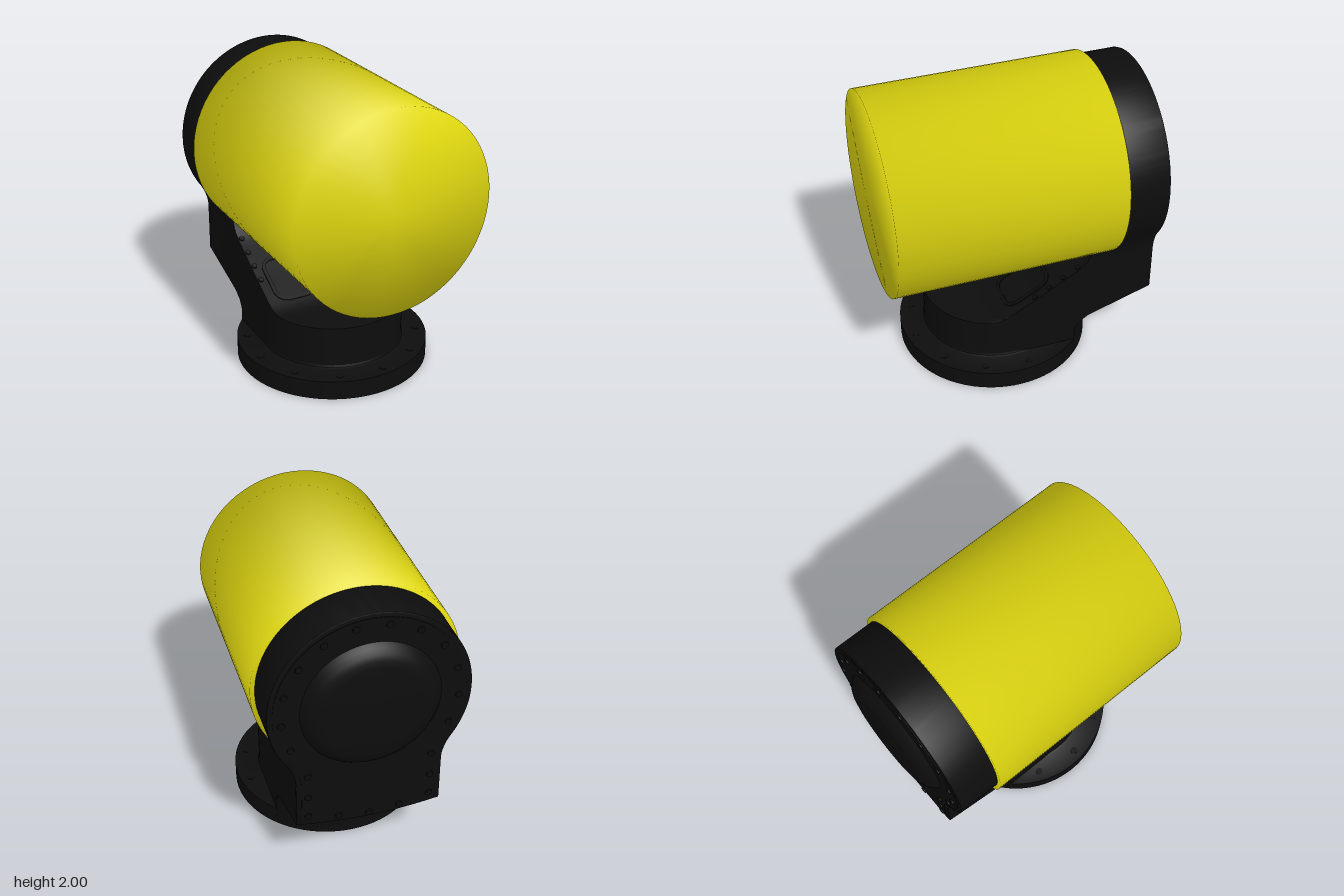
import * as THREE from 'three';
import { mergeVertices, toCreasedNormals } from 'three/addons/utils/BufferGeometryUtils.js';

const black = new THREE.MeshStandardMaterial({ color: 0x0d0d0d });
black.name = 'black housing';
const yellow = new THREE.MeshStandardMaterial({ color: 0xe0d810 });
yellow.name = 'yellow drum';

const HEAD_Y = 1.325, HEAD_R = 0.645, BASE_Z = 0.135, NECK = 0.475;

function add(group, name, geometry, material = black) {
  const mesh = new THREE.Mesh(geometry, material);
  mesh.name = name;
  group.add(mesh);
  return mesh;
}

const lathe = (pts, segments = 72) => toCreasedNormals(
  new THREE.LatheGeometry(pts.map(p => new THREE.Vector2(...p)), segments), 0.6);

// Drum with soft normals rolling over both rims
function drumGeometry() {
  const r = 0.675, len = 1.485;
  const raw = new THREE.CylinderGeometry(r, r, len, 72).rotateX(Math.PI / 2);
  raw.deleteAttribute('uv');
  raw.deleteAttribute('normal');
  const geo = mergeVertices(raw);
  const pos = geo.attributes.position, normals = [];
  const n = new THREE.Vector3();
  for (let i = 0; i < pos.count; i++) {
    n.set(pos.getX(i) / r, pos.getY(i) / r, Math.sign(pos.getZ(i))).normalize();
    normals.push(n.x, n.y, n.z);
  }
  geo.setAttribute('normal', new THREE.Float32BufferAttribute(normals, 3));
  return geo.translate(0, HEAD_Y, 0.1825);
}

// Keyhole outline: round head flowing into a straight neck with a bowed bottom
function headShape(inset) {
  const r = HEAD_R - inset, w = NECK - inset, s = new THREE.Shape();
  const a = -0.61;
  s.moveTo(w, 0.46 + inset);
  s.lineTo(w, 0.78);
  s.quadraticCurveTo(w, 0.87, r * Math.cos(a), HEAD_Y + r * Math.sin(a));
  s.absarc(0, HEAD_Y, r, a, Math.PI - a, false);
  s.quadraticCurveTo(-w, 0.87, -w, 0.78);
  s.lineTo(-w, 0.46 + inset);
  s.quadraticCurveTo(0, 0.38 + inset, w, 0.46 + inset);
  return s;
}

// Height of the neck's upper surface along z
const SLOPE = [[0.7, 0.42], [0.3, 0.42], [0.24, 0.43], [0.18, 0.455], [-0.05, 0.58],
  [-0.3, 0.725], [-0.35, 0.76], [-0.38, 0.795]];
function slopeY(z) {
  for (let i = 1; i < SLOPE.length; i++) {
    const [z0, y0] = SLOPE[i - 1], [z1, y1] = SLOPE[i];
    if (z >= z1) return y0 + (y1 - y0) * (z0 - z) / (z0 - z1);
  }
  return 0.795;
}

// Side profile [z, y] of the neck at a given x
function neckProfile(x) {
  const front = BASE_Z + Math.sqrt(Math.max(0, NECK * NECK - x * x));
  const back = BASE_Z - Math.sqrt(HEAD_R * HEAD_R - x * x);
  const lift = 0.04 * (x / NECK) ** 2;
  const pts = [[front, 0]];
  for (let j = 0; j <= 18; j++) {
    const z = front + (-0.38 - front) * j / 18;
    pts.push([z, slopeY(z)]);
  }
  pts.push([-0.41, 0.86], [-0.838, 0.86], [-0.838, 0.42 + lift]);
  for (const [t, y] of [[0.33, 0.33], [0.18, 0.31], [0.06, 0.27], [0, 0.22]])
    pts.push([back + (-0.838 - back) * t, y + lift * t]);
  pts.push([back, 0]);
  return pts;
}

// Neck lofted across x, with flat cheeks on both sides
function neckGeometry() {
  const steps = 40, verts = [], index = [];
  let rows = 0;
  for (let i = 0; i <= steps; i++) {
    const x = -NECK * Math.cos(Math.PI * i / steps);
    const profile = neckProfile(x);
    rows = profile.length;
    profile.forEach(([z, y]) => verts.push(x, y, z));
  }
  for (let i = 0; i < steps; i++)
    for (let j = 0; j < rows - 1; j++) {
      const a = i * rows + j, b = a + rows;
      index.push(a, b, b + 1, a, b + 1, a + 1);
    }
  const cheek = neckProfile(NECK).map(p => new THREE.Vector2(...p));
  const last = steps * rows;
  for (const [a, b, c] of THREE.ShapeUtils.triangulateShape(cheek, []))
    index.push(a, b, c, last + a, last + c, last + b);
  const geo = new THREE.BufferGeometry();
  geo.setAttribute('position', new THREE.Float32BufferAttribute(verts, 3));
  geo.setIndex(index);
  return toCreasedNormals(geo, 0.5);
}

// Rounded rectangular rim, lying in the xy plane
function pocketRim(w, h, r, band) {
  const outline = (path, d) => {
    const x = w / 2 - d, y = h / 2 - d, q = r - d;
    path.absarc(x - q, y - q, q, 0, Math.PI / 2);
    path.absarc(q - x, y - q, q, Math.PI / 2, Math.PI);
    path.absarc(q - x, q - y, q, Math.PI, Math.PI * 1.5);
    path.absarc(x - q, q - y, q, Math.PI * 1.5, Math.PI * 2);
    return path;
  };
  const s = outline(new THREE.Shape(), 0);
  s.holes.push(outline(new THREE.Path(), band));
  return new THREE.ExtrudeGeometry(s, { depth: 0.012, bevelEnabled: false, curveSegments: 8 });
}

export function createModel() {
  const model = new THREE.Group();
  model.name = 'swivel drum unit';

  add(model, 'drum', drumGeometry(), yellow);

  // Head housing, cover plate and domed cap at the back
  add(model, 'headHousing', toCreasedNormals(new THREE.ExtrudeGeometry(headShape(0), {
    depth: 0.275, bevelThickness: 0.01, bevelSize: 0.01, bevelOffset: -0.01,
    bevelSegments: 2, curveSegments: 40 }), 0.5).translate(0, 0, -0.835));
  add(model, 'coverPlate', new THREE.ExtrudeGeometry(headShape(0.035), {
    depth: 0.01, bevelEnabled: false, curveSegments: 40 }).translate(0, 0, -0.849));
  add(model, 'domedCap', lathe([[0.445, 0], [0.42, 0.03], [0.39, 0.055], [0.355, 0.07],
    [0.31, 0.078], [0, 0.078]]).rotateX(-Math.PI / 2).translate(0, HEAD_Y, -0.847));

  add(model, 'neck', neckGeometry());

  // Hollow round base with flange
  add(model, 'baseFlange', lathe([[0, 0.3], [0.46, 0.3], [0.46, 0.03], [0.57, 0.03], [0.57, 0],
    [HEAD_R, 0], [HEAD_R, 0.13], [0.495, 0.13], [0.48, 0.136], [0.473, 0.155]])
    .translate(0, 0, BASE_Z));

  // Cover bolts around the head and down the neck
  const backBolt = new THREE.CylinderGeometry(0.022, 0.026, 0.016, 12).rotateX(-Math.PI / 2);
  const spots = [[0, 0.46]];
  for (let i = 0; i < 12; i++) {
    const a = -0.45 + (Math.PI + 0.9) * i / 11;
    spots.push([0.56 * Math.cos(a), HEAD_Y + 0.56 * Math.sin(a)]);
  }
  for (const s of [-1, 1])
    spots.push([0.4 * s, 0.85], [0.4 * s, 0.68], [0.4 * s, 0.525], [0.2 * s, 0.48]);
  for (const [x, y] of spots) add(model, 'coverBolt', backBolt).position.set(x, y, -0.849);

  // Pocket rims and edge bolts on the sloped front of the neck
  const rim = pocketRim(0.3, 0.36, 0.09, 0.025);
  const slopeBolt = new THREE.CylinderGeometry(0.018, 0.02, 0.02, 10);
  for (const s of [-1, 1]) {
    const pocket = add(model, 'pocketRim', rim);
    pocket.position.set(0.26 * s, slopeY(0.0) - 0.003, 0.0);
    pocket.rotation.x = -Math.PI / 2 + 0.51;
    for (const z of [-0.02, -0.12, -0.22, -0.32]) {
      const bolt = add(model, 'slopeBolt', slopeBolt);
      bolt.position.set(0.452 * s, slopeY(z), z);
      bolt.rotation.x = 0.51;
    }
  }

  // Flange fasteners: flush discs above, small bolts in the recess below
  const disc = new THREE.CylinderGeometry(0.025, 0.025, 0.006, 12);
  const smallBolt = new THREE.CylinderGeometry(0.018, 0.018, 0.016, 10);
  for (let i = 0; i < 24; i++) {
    const a = 2 * Math.PI * (i + 0.5) / 24, c = Math.cos(a), s = Math.sin(a);
    if (i % 2) add(model, 'flangeDisc', disc).position.set(0.575 * c, 0.13, BASE_Z + 0.575 * s);
    add(model, 'recessBolt', smallBolt).position.set(0.515 * c, 0.026, BASE_Z + 0.515 * s);
  }
  return model;
}
